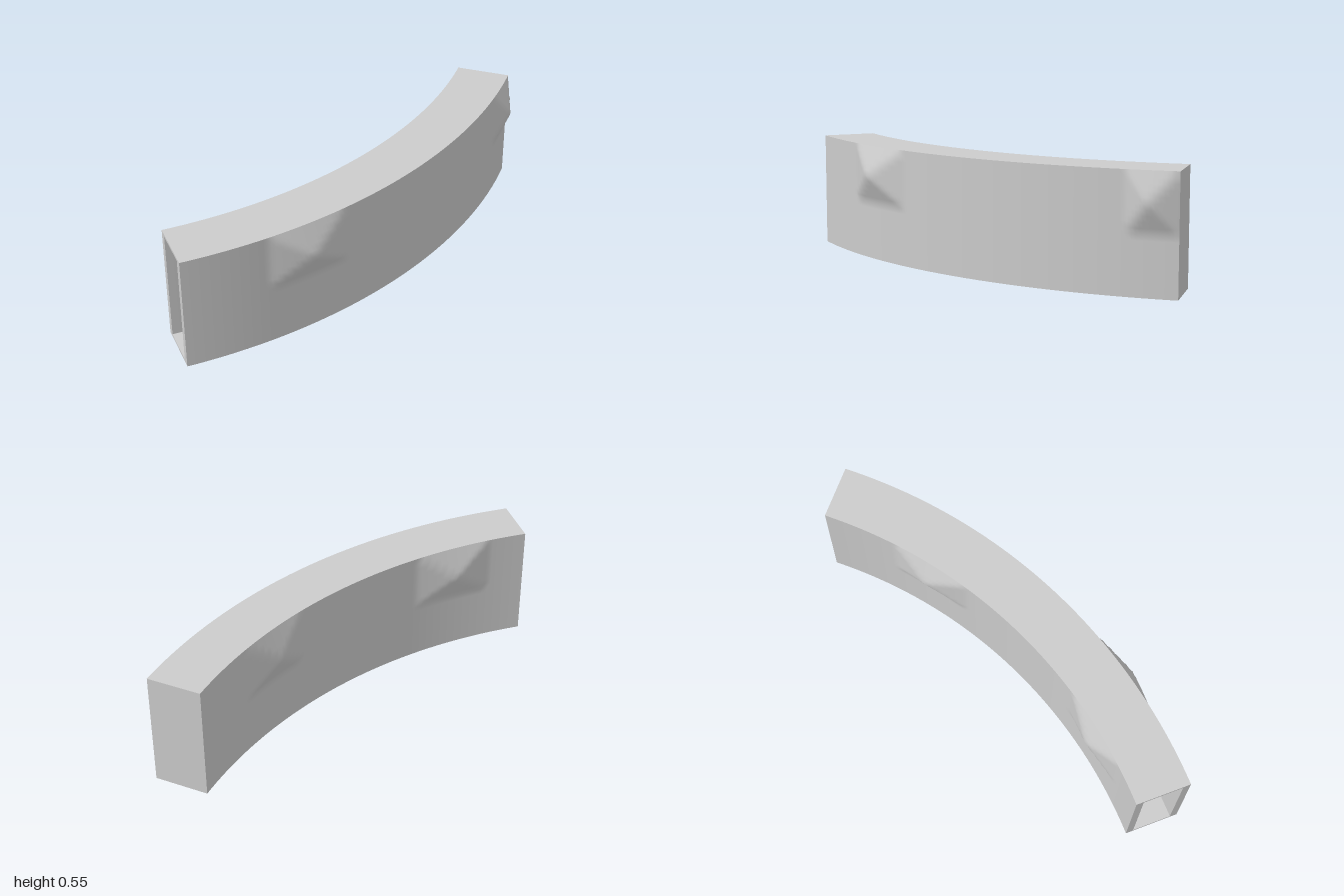
import * as THREE from 'three';

const H = 0.546, CX = -0.9, CZ = -2.1;          // beam height and arc centre
const R_OUT = 2.59, R_IN = 2.335, WALL = 0.035, SKIN = 0.012;
const A0 = -2.2, A1 = 47.2;                     // arc range in degrees

// dents pushed out of each wall: start, peak and end angle, height
const FRONT_BUMPS = [[6.6, 10.9, 15.7, 0.063], [42, 44.4, 47.2, 0.056]];
const BACK_BUMPS = [[2.4, 7.05, 12, 0.053], [28.8, 33.8, 38.6, 0.054]];

const tent = (v, a, b, c) => Math.max(0, v < b ? (v - a) / (b - a) : (c - v) / (c - b));

function bulge(bumps, angle, y) {
  const ty = tent(y, H * 0.5, H * 0.75, H);
  return bumps.reduce((s, [a, b, c, h]) => s + h * Math.min(tent(angle, a, b, c), ty), 0);
}

// point on the arc: angle in degrees, radius, height
function polar(angle, r, y) {
  const t = THREE.MathUtils.degToRad(angle);
  return [CX + r * Math.sin(t), y, CZ + r * Math.cos(t)];
}

// grid surface from fn(u, v) -> [x, y, z]; faces along du x dv
function surface(name, nu, nv, fn, flip = false) {
  const pos = [], idx = [];
  for (let j = 0; j <= nv; j++)
    for (let i = 0; i <= nu; i++) pos.push(...fn(i / nu, j / nv));
  for (let j = 0; j < nv; j++)
    for (let i = 0; i < nu; i++) {
      const a = j * (nu + 1) + i, b = a + 1, c = a + nu + 1, d = c + 1;
      idx.push(...(flip ? [a, c, b, b, c, d] : [a, b, c, b, d, c]));
    }
  const g = new THREE.BufferGeometry();
  g.setAttribute('position', new THREE.Float32BufferAttribute(pos, 3));
  g.setIndex(idx);
  g.computeVertexNormals();
  const mesh = new THREE.Mesh(g, new THREE.MeshStandardMaterial({ color: 0xcccccc, side: THREE.DoubleSide }));
  mesh.name = name;
  return mesh;
}

export function createModel() {
  const group = new THREE.Group();
  group.name = 'curvedHollowBeam';
  const ang = u => A0 + (A1 - A0) * u;
  const mix = THREE.MathUtils.lerp;
  const N = 120;

  // outer walls with their bulges
  group.add(surface('frontWall', N, 20, (u, v) =>
    polar(ang(u), R_OUT + bulge(FRONT_BUMPS, ang(u), v * H), v * H)));
  group.add(surface('backWall', N, 20, (u, v) =>
    polar(ang(u), R_IN - bulge(BACK_BUMPS, ang(u), v * H), v * H), true));

  // top and bottom
  group.add(surface('top', N, 1, (u, v) => polar(ang(u), mix(R_OUT, R_IN, v), H)));
  group.add(surface('bottom', N, 1, (u, v) => polar(ang(u), mix(R_OUT, R_IN, v), 0), true));

  // closed left end
  group.add(surface('endCap', 1, 1, (u, v) => polar(A1, mix(R_OUT, R_IN, u), v * H)));

  // inner channel
  const ro = R_OUT - WALL, ri = R_IN + WALL, y0 = SKIN, y1 = H - SKIN;
  group.add(surface('innerFrontWall', N, 1, (u, v) => polar(ang(u), ro, mix(y0, y1, v)), true));
  group.add(surface('innerBackWall', N, 1, (u, v) => polar(ang(u), ri, mix(y0, y1, v))));
  group.add(surface('innerFloor', N, 1, (u, v) => polar(ang(u), mix(ro, ri, v), y0)));
  group.add(surface('innerCeiling', N, 1, (u, v) => polar(ang(u), mix(ro, ri, v), y1), true));

  // rim around the open right end
  const rim = [[R_IN, ri, 0, H], [ro, R_OUT, 0, H], [ri, ro, 0, y0], [ri, ro, y1, H]];
  for (const [a, b, c, d] of rim)
    group.add(surface('openEndRim', 1, 1, (u, v) => polar(A0, mix(a, b, u), mix(c, d, v))));
  return group;
}
